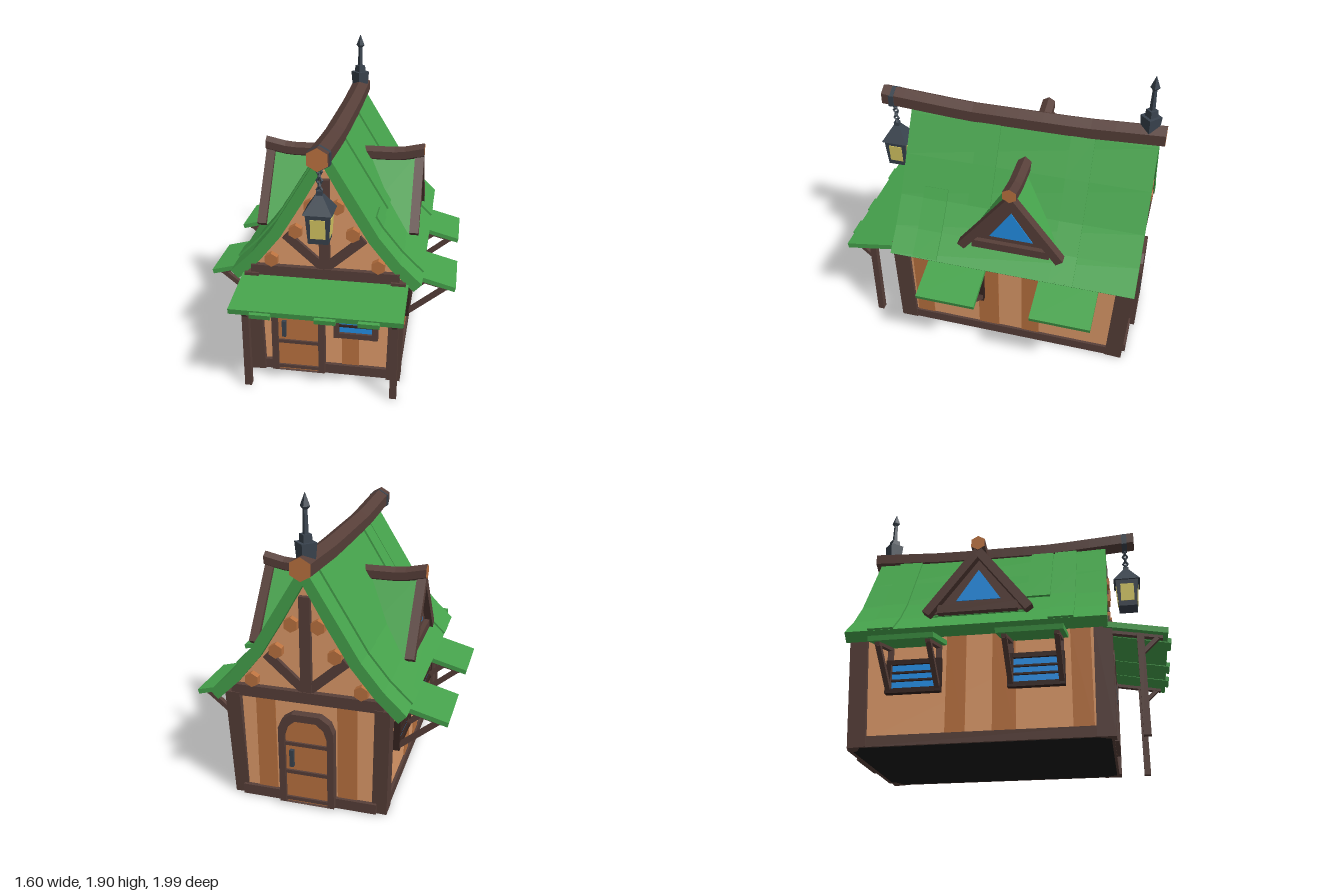
import * as THREE from 'three';

const colours = {
  roofGreen: 0x46a34c, plaster: 0xe09c6a, plank: 0xbc7340, timber: 0x573f39, darkTimber: 0x35231f,
  glass: 0x2493ec, lampGlass: 0xdccd66, metal: 0x39434e, underside: 0x181818,
};
const M = {};
for (const k in colours) {
  M[k] = new THREE.MeshStandardMaterial({ color: colours[k] });
  M[k].name = k;
}
const V = (x, y, z) => new THREE.Vector3(x, y, z);

// Faceted mesh added to a parent
function add(parent, name, geo, mat, x = 0, y = 0, z = 0) {
  const g = geo.index ? geo.toNonIndexed() : geo;
  g.computeVertexNormals();
  const m = new THREE.Mesh(g, mat);
  m.name = name;
  m.position.set(x, y, z);
  parent.add(m);
  return m;
}
const box = (p, name, mat, w, h, d, x, y, z) => add(p, name, new THREE.BoxGeometry(w, h, d), mat, x, y, z);

// Rectangular bar from a to b; w is measured sideways, t across it (x and z for upright bars)
function beam(p, name, mat, a, b, w, t) {
  const m = box(p, name, mat, w, t, a.distanceTo(b), 0, 0, 0);
  m.position.copy(a).add(b).multiplyScalar(0.5);
  const upright = Math.abs(b.y - a.y) > 0.9 * a.distanceTo(b);
  m.quaternion.setFromRotationMatrix(new THREE.Matrix4().lookAt(b, a, upright ? V(0, 0, 1) : V(0, 1, 0)));
}
function group(parent, name, x = 0, y = 0, z = 0, turn = 0) {
  const g = new THREE.Group();
  g.name = name;
  g.position.set(x, y, z);
  g.rotation.y = turn;
  parent.add(g);
  return g;
}
const shape = (pts) => new THREE.Shape(pts.map(([x, y]) => new THREE.Vector2(x, y)));
const extrude = (s, depth) => new THREE.ExtrudeGeometry(s, { depth, bevelEnabled: false });
const hexLog = (r, len, segs = 1) => new THREE.CylinderGeometry(r, r, len, 6, segs).rotateX(Math.PI / 2);
const logMats = [M.timber, M.plank, M.plank];
// Square frustum given half widths
const frustum = (top, bottom, h) =>
  new THREE.CylinderGeometry(top * Math.SQRT2, bottom * Math.SQRT2, h, 4).rotateY(Math.PI / 4);

// Concave roof profile
const profile = [[0, 1.52], [0.05, 1.44], [0.19, 1.21], [0.33, 0.98], [0.46, 0.82], [0.595, 0.69]];
function roofPoint(x, lift) {
  let i = 1;
  while (i < profile.length - 1 && x > profile[i][0]) i++;
  const [ax, ay] = profile[i - 1], [bx, by] = profile[i];
  const l = Math.hypot(bx - ax, by - ay), y = ay + (by - ay) * (x - ax) / (bx - ax);
  return [Math.max(0, x + lift * (ay - by) / l), y + lift * (bx - ax) / l];
}
function roofSlab(p, name, side, x0, x1, z0, z1, top, bottom) {
  const xs = [x0, ...profile.map((q) => q[0]).filter((x) => x > x0 && x < x1), x1];
  const pts = [...xs.map((x) => roofPoint(x, top)), ...xs.reverse().map((x) => roofPoint(x, bottom))];
  add(p, name, extrude(shape(pts.map(([x, y]) => [side * x, y])), z1 - z0), M.roofGreen, 0, 0, z0);
}

// Arched door facing +z
function door(parent, x, z, turn) {
  const g = group(parent, 'door', x, 0, z, turn);
  const arch = (w, h) => [[-w, 0.01], [w, 0.01], [w, h - 0.1], [w * 0.85, h - 0.04], [w * 0.5, h],
    [-w * 0.5, h], [-w * 0.85, h - 0.04], [-w, h - 0.1]];
  const frame = shape(arch(0.17, 0.61));
  frame.holes.push(shape(arch(0.13, 0.565)));
  add(g, 'doorFrame', extrude(frame, 0.055), M.timber, 0, 0, -0.01);
  add(g, 'doorPanel', extrude(shape(arch(0.135, 0.57)), 0.025), M.plank);
  for (const y of [0.035, 0.22, 0.41]) box(g, 'doorRail', M.timber, 0.26, 0.022, 0.02, 0, y, 0.028);
  box(g, 'doorHandle', M.metal, 0.025, 0.11, 0.025, -0.09, 0.315, 0.035);
}

// Slatted window facing +z, centred on its origin
function windowUnit(parent, x, y, z, w, h, t, slats, mat) {
  const g = group(parent, 'window', x, y, z);
  box(g, 'pane', M.glass, w - t, h - t, 0.02, 0, 0, 0);
  for (const s of [-1, 1]) {
    box(g, 'windowJamb', mat, t, h, 0.05, s * (w - t) / 2, 0, 0.005);
    box(g, 'windowRail', mat, w - t * 2, t, 0.045, 0, s * (h - t) / 2, 0.005);
  }
  for (let i = 1; i <= slats; i++)
    box(g, 'slat', M.darkTimber, w - 2 * t, 0.012, 0.02, 0, (i / (slats + 1) - 0.5) * (h - 2 * t), 0.014);
}

// Timber framing and log ends of a gable wall facing +z
function gable(parent, z, turn) {
  const g = group(parent, 'gable', 0, 0, z, turn);
  box(g, 'tieBeam', M.timber, 0.92, 0.07, 0.06, 0, 0.715, 0.005);
  box(g, 'sillBeam', M.timber, 0.84, 0.065, 0.05, 0, 0.033, 0);
  box(g, 'kingPost', M.timber, 0.065, 0.6, 0.05, 0, 1.03, 0.005);
  for (const s of [-1, 1]) {
    beam(g, 'gableBrace', M.timber, V(s * 0.02, 0.765, 0.005), V(s * 0.24, 0.96, 0.005), 0.04, 0.055);
    for (const [x, y] of [[0.08, 1.16], [0.175, 0.99], [0.33, 0.79]])
      add(g, 'purlinEnd', hexLog(0.045, 0.06), M.plank, s * x, y, 0.01);
  }
}

// Side window with its small awning, facing +z
function sideBay(parent, side, z) {
  const g = group(parent, 'sideBay', 0, 0, z, side * Math.PI / 2);
  windowUnit(g, 0, 0.42, 0.475, 0.34, 0.21, 0.03, 2, M.darkTimber);
  beam(g, 'sideAwning', M.roofGreen, V(0, 0.635, 0.46), V(0, 0.545, 0.795), 0.385, 0.03);
  for (const s of [-1, 1]) {
    beam(g, 'awningBrace', M.timber, V(s * 0.15, 0.33, 0.48), V(s * 0.15, 0.535, 0.73), 0.03, 0.03);
    beam(g, 'awningRafter', M.timber, V(s * 0.15, 0.605, 0.48), V(s * 0.15, 0.535, 0.75), 0.03, 0.025);
    beam(g, 'awningStud', M.timber, V(s * 0.15, 0.32, 0.487), V(s * 0.15, 0.61, 0.487), 0.03, 0.03);
  }
}

// Triangular dormer facing +z
function dormer(parent, side) {
  const g = group(parent, 'dormer', 0, 0, -0.16, side * Math.PI / 2);
  const tri = (w, y0, y1) => shape([[-w, y0], [w, y0], [0, y1]]);
  add(g, 'dormerRoof', extrude(tri(0.315, 0.81, 1.235), 0.38), M.roofGreen, 0, 0, 0.1);
  add(g, 'dormerFace', extrude(tri(0.28, 0.82, 1.2), 0.012), M.timber, 0, 0, 0.478);
  add(g, 'dormerPane', extrude(tri(0.14, 0.9, 1.11), 0.006), M.glass, 0, 0, 0.489);
  box(g, 'dormerSill', M.timber, 0.5, 0.055, 0.045, 0, 0.84, 0.5);
  for (const s of [-1, 1])
    beam(g, 'bargeBoard', M.timber, V(0, 1.225, 0.508), V(s * 0.32, 0.81, 0.508), 0.06, 0.055);
  const geo = hexLog(0.05, 0.4, 6).translate(0, 1.245, 0.34), p = geo.attributes.position;
  for (let i = 0; i < p.count; i++)
    p.setY(i, p.getY(i) + 0.035 * Math.max(0, (p.getZ(i) - 0.38) / 0.16));
  add(g, 'dormerRidge', geo, logMats);
}

function lantern(parent) {
  const g = group(parent, 'lantern', 0, 0, 0.755);
  add(g, 'ridgeStrap', hexLog(0.076, 0.035), M.metal, 0, 1.508, 0);
  for (let i = 0; i < 5; i++)
    add(g, 'chainLink', new THREE.TorusGeometry(0.015, 0.008, 4, 6), M.metal, 0, 1.43 - i * 0.028, 0)
      .rotation.y = i * Math.PI / 2;
  add(g, 'lanternCap', frustum(0.022, 0.087, 0.1), M.metal, 0, 1.24, 0);
  box(g, 'lanternKnob', M.metal, 0.035, 0.03, 0.035, 0, 1.3, 0);
  add(g, 'lanternBody', frustum(0.074, 0.06, 0.19), M.metal, 0, 1.1, 0);
  for (let i = 0; i < 4; i++) {
    const side = group(g, 'lanternSide', 0, 1.1, 0, i * Math.PI / 2);
    box(side, 'lanternPane', M.lampGlass, 0.088, 0.12, 0.008, 0, 0, 0.067).rotation.x = 0.074;
  }
}

export function createModel() {
  const root = new THREE.Group();
  root.name = 'cottage';

  // Walls
  const half = [[0.455, 0.005], [0.475, 0.68], [0.42, 0.79], [0.31, 0.93], [0.18, 1.13], [0.03, 1.38]];
  const outline = [...half, ...half.map(([x, y]) => [-x, y]).reverse()];
  add(root, 'walls', extrude(shape(outline), 1.52), M.plaster, 0, 0, -0.92);
  box(root, 'floorUnderside', M.underside, 0.92, 0.008, 1.53, 0, 0.004, -0.155);
  gable(root, 0.6, 0);
  gable(root, -0.92, Math.PI);
  door(root, -0.17, 0.605, 0);
  door(root, 0, -0.93, Math.PI);
  windowUnit(root, 0.197, 0.415, 0.615, 0.28, 0.27, 0.035, 3, M.timber);
  box(root, 'frontPlank', M.plank, 0.11, 0.63, 0.012, 0.16, 0.37, 0.6);
  for (const x of [-0.24, 0.26]) box(root, 'backPlank', M.plank, 0.12, 0.63, 0.012, x, 0.37, -0.92);

  for (const s of [-1, 1]) {
    // Corner posts, sills and wall planks
    beam(root, 'frontPost', M.timber, V(s * 0.435, 0, 0.585), V(s * 0.455, 0.7, 0.595), 0.09, 0.11);
    beam(root, 'backPost', M.timber, V(s * 0.435, 0, -0.87), V(s * 0.455, 0.7, -0.905), 0.09, 0.11);
    box(root, 'sideSill', M.timber, 0.05, 0.065, 1.45, s * 0.45, 0.033, -0.15);
    for (const [z, w] of [[0.46, 0.12], [0, 0.14], [-0.29, 0.12]])
      beam(root, 'wallPlank', M.plank, V(s * 0.455, 0.05, z), V(s * 0.475, 0.67, z), 0.014, w);
    for (const z of [0.195, -0.545]) sideBay(root, s, z);
    dormer(root, s);

    // Main roof slope
    roofSlab(root, 'roofSlope', s, 0, 0.595, -0.965, 0.625, 0, -0.07);

    // Porch posts and braces
    box(root, 'porchPost', M.timber, 0.042, 0.62, 0.042, s * 0.455, 0.31, 0.81);
    beam(root, 'porchBrace', M.timber, V(s * 0.455, 0.5, 0.82), V(s * 0.455, 0.595, 0.92), 0.03, 0.025);
    beam(root, 'porchRafter', M.timber, V(s * 0.455, 0.645, 0.62), V(s * 0.455, 0.59, 0.94), 0.035, 0.03);
  }
  // Raised shingle strips: side, inner x, outer x, back z, front z
  for (const [s, x0, x1, z0, z1] of [
    [-1, 0.04, 0.593, -0.82, -0.66], [-1, 0.04, 0.593, 0.28, 0.43], [-1, 0.05, 0.34, 0.12, 0.27],
    [1, 0.05, 0.33, 0.02, 0.17], [1, 0.29, 0.59, 0.31, 0.47], [1, 0.04, 0.59, -0.58, -0.43],
  ]) roofSlab(root, 'shingleStrip', s, x0, x1, z0, z1, 0.012, -0.02);

  // Porch roof with uneven front edge
  beam(root, 'porchRoof', M.roofGreen, V(0, 0.672, 0.6), V(0, 0.605, 0.97), 1.03, 0.035);
  for (const x of [-0.32, 0.065, 0.32])
    beam(root, 'porchShingle', M.roofGreen, V(x, 0.664, 0.62), V(x, 0.594, 0.99), 0.125, 0.03);

  // Ridge log with raised ends
  const ridge = hexLog(0.07, 1.82, 12).translate(0, 1.478, -0.09), p = ridge.attributes.position;
  for (let i = 0; i < p.count; i++) {
    const z = p.getZ(i), rise = 0.04 * Math.max(0, (z - 0.25) / 0.57) + 0.025 * Math.max(0, (-z - 0.5) / 0.5);
    p.setY(i, p.getY(i) + rise);
  }
  add(root, 'ridgeLog', ridge, logMats);

  lantern(root);

  // Finial at the back of the ridge
  const f = group(root, 'finial', 0, 0, -0.895, Math.PI / 4);
  add(f, 'finialBase', frustum(0.047, 0.04, 0.1), M.metal, 0, 1.58, 0);
  add(f, 'finialCollar', frustum(0.026, 0.028, 0.05), M.metal, 0, 1.65, 0);
  add(f, 'finialRod', frustum(0.009, 0.013, 0.16), M.metal, 0, 1.75, 0);
  add(f, 'finialPoint', frustum(0.001, 0.021, 0.075), M.metal, 0, 1.863, 0);
  add(f, 'finialPointBase', frustum(0.021, 0.008, 0.02), M.metal, 0, 1.816, 0);
  return root;
}
